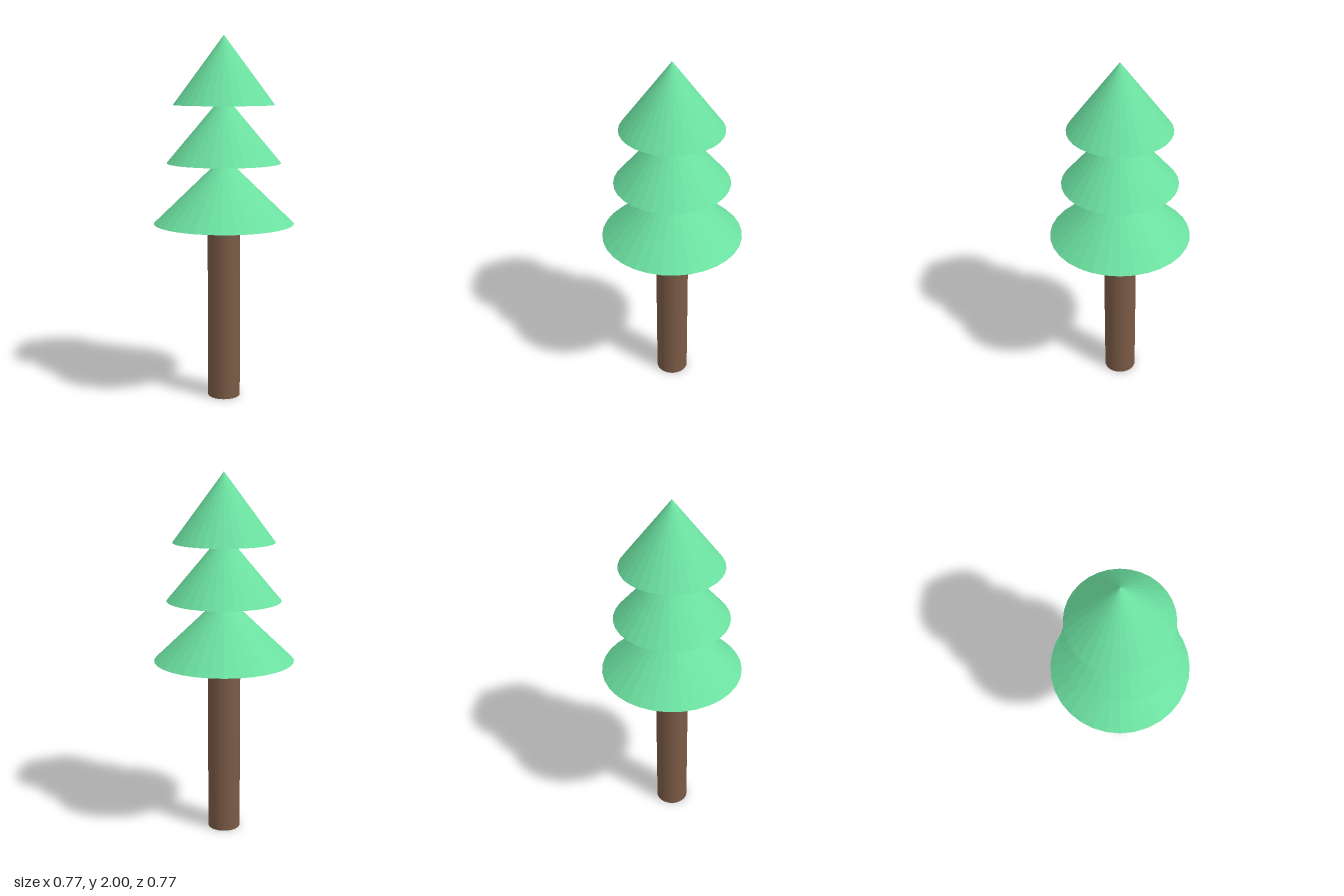
import * as THREE from 'three';

const SIDES = 32;
const TRUNK_HEIGHT = 0.985;
const TIER_HEIGHT = 0.37;

export function createModel() {
  const tree = new THREE.Group();
  tree.name = 'tree';

  const green = new THREE.MeshStandardMaterial({ color: 0x6be0a0, flatShading: true });
  const brown = new THREE.MeshStandardMaterial({ color: 0x7a5a45, flatShading: true });

  // Trunk: brown bark with green end caps
  const trunk = new THREE.Mesh(
    new THREE.CylinderGeometry(0.09, 0.09, TRUNK_HEIGHT, SIDES),
    [brown, green, green]
  );
  trunk.name = 'trunk';
  trunk.position.y = TRUNK_HEIGHT / 2;
  tree.add(trunk);

  // Foliage: three cones of equal height, each tip tucked into the next one up
  const tiers = [
    { name: 'lowerFoliage', radius: 0.385, base: TRUNK_HEIGHT },
    { name: 'middleFoliage', radius: 0.312, base: 1.317 },
    { name: 'upperFoliage', radius: 0.276, base: 2 - TIER_HEIGHT },
  ];
  for (const { name, radius, base } of tiers) {
    const cone = new THREE.Mesh(new THREE.ConeGeometry(radius, TIER_HEIGHT, SIDES), green);
    cone.name = name;
    cone.position.y = base + TIER_HEIGHT / 2;
    tree.add(cone);
  }

  return tree;
}
